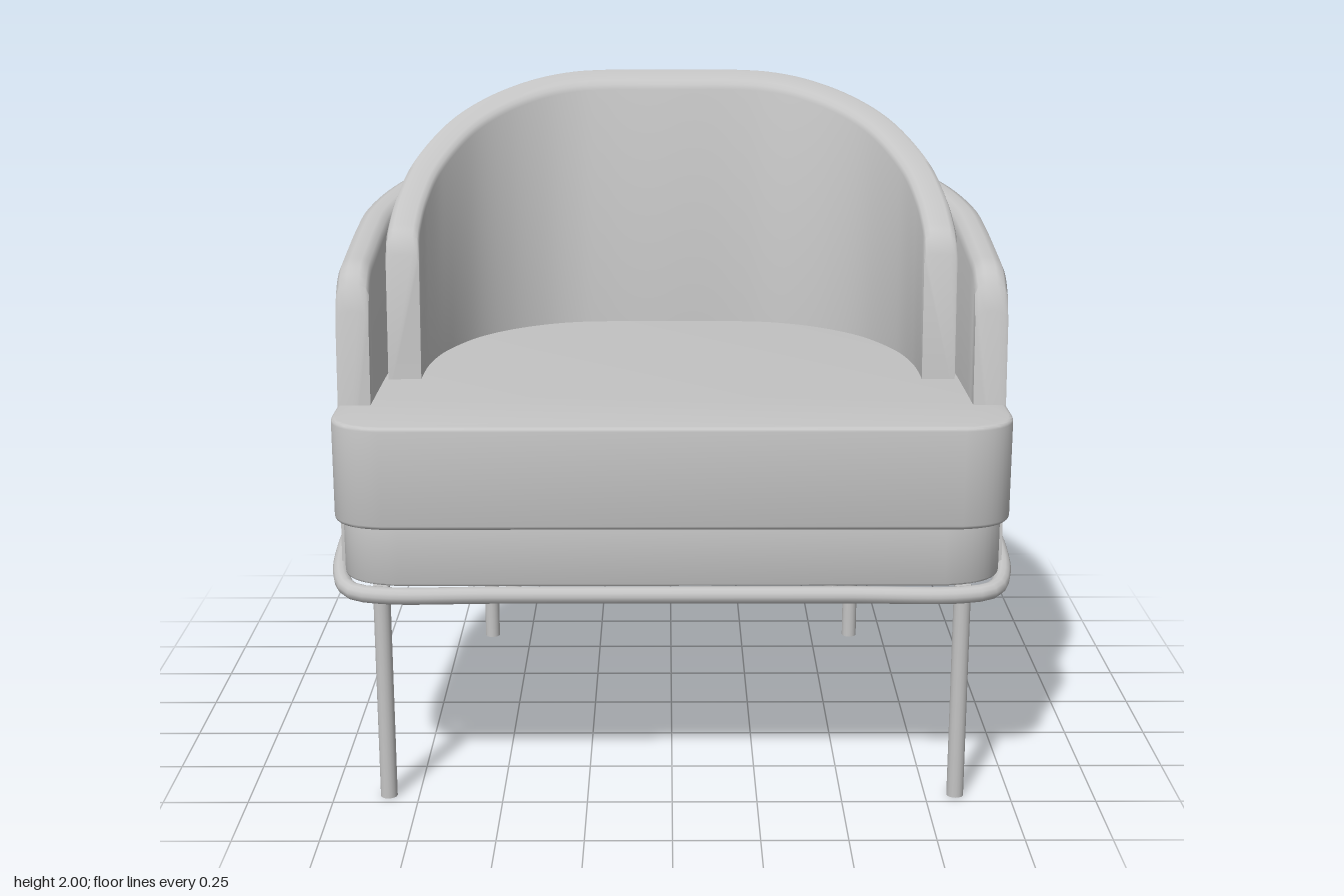
import * as THREE from 'three';
import { toCreasedNormals } from 'three/addons/utils/BufferGeometryUtils.js';

const V = (x, y, z) => new THREE.Vector3(x, y, z);
const LEAN = 0.083, FLOOR = 0.68; // walls lean backwards from the floor of the body

// mirrors a half plan [x, z] running from front left to the back centre
const mirrorPlan = (half) => [...half, ...half.slice(0, -1).reverse().map(([x, z]) => [-x, z])];
const planCurve = (half) =>
  new THREE.CatmullRomCurve3(mirrorPlan(half).map(([x, z]) => V(x, 0, z)), false, 'centripetal');

// points along a plan curve with their inward normals
function samplePlan(curve, n) {
  return Array.from({ length: n + 1 }, (_, i) => {
    const p = curve.getPointAt(i / n), t = curve.getTangentAt(i / n);
    return { p, nx: t.z, nz: -t.x };
  });
}

// leaning U-shaped wall; its top follows the line y = a - b * z, front corners are rounded
function wall(curve, { n, thick, rim, bottom, a, b, corner }) {
  const pos = [], idx = [];
  const section = [[0, null], [0, -rim], [0.3 * rim, -0.3 * rim], [rim, 0],
    [thick - rim, 0], [thick - 0.3 * rim, -0.3 * rim], [thick, -rim], [thick, null]];
  const m = section.length, length = curve.getLength();
  samplePlan(curve, n).forEach(({ p, nx, nz }, i) => {
    const d = Math.min(i, n - i) * length / n;
    const drop = d < corner ? corner - Math.sqrt(corner ** 2 - (corner - d) ** 2) : 0;
    for (const [u, dy] of section) {
      const z = p.z + nz * u;
      const top = (a - b * z - b * LEAN * FLOOR) / (1 - LEAN * b);
      const y = dy === null ? bottom : top - drop + dy;
      pos.push(p.x + nx * u, y, z - LEAN * (y - FLOOR));
    }
  });
  for (let i = 0; i < n; i++) {
    for (let j = 0; j < m; j++) {
      const k = (j + 1) % m, A = i * m + j, B = i * m + k, C = A + m, D = B + m;
      idx.push(A, C, D, A, D, B);
    }
  }
  for (let j = 1; j < m - 1; j++) {
    idx.push(0, j, j + 1, n * m, n * m + j + 1, n * m + j);
  }
  const g = new THREE.BufferGeometry();
  g.setAttribute('position', new THREE.Float32BufferAttribute(pos, 3));
  g.setIndex(idx);
  return toCreasedNormals(g, 0.85);
}

// horizontal slab with rounded front corners whose back follows an inset plan
function slab(curve, { inset, halfWidth, front, back, radius, y0, y1, bevel }) {
  const s = new THREE.Shape();
  const w = halfWidth - bevel, f = front - bevel;
  s.moveTo(w, -back);
  s.lineTo(w, -(f - radius));
  s.quadraticCurveTo(w, -(f - radius * 0.12), w - radius, -f);
  s.lineTo(-w + radius, -f);
  s.quadraticCurveTo(-w, -(f - radius * 0.12), -w, -(f - radius));
  s.lineTo(-w, -back);
  samplePlan(curve, 64).reverse().forEach(({ p, nx, nz }) => {
    const z = p.z + nz * inset;
    if (z < back - 0.05) s.lineTo(p.x + nx * inset, -z);
  });
  const g = new THREE.ExtrudeGeometry(s, {
    depth: y1 - y0 - 2 * bevel, bevelEnabled: true, bevelSize: bevel,
    bevelThickness: bevel, bevelSegments: 3, curveSegments: 12,
  });
  g.rotateX(-Math.PI / 2).translate(0, y0 + bevel, 0);
  return toCreasedNormals(g, 0.6);
}

// straight round bar between two points
function bar(a, b, r) {
  const g = new THREE.CylinderGeometry(r, r, a.distanceTo(b), 16);
  const q = new THREE.Quaternion().setFromUnitVectors(V(0, 1, 0), b.clone().sub(a).normalize());
  const mid = a.clone().add(b).multiplyScalar(0.5);
  return g.applyQuaternion(q).translate(mid.x, mid.y, mid.z);
}

export function createModel() {
  const group = new THREE.Group();
  const grey = new THREE.MeshStandardMaterial({ color: 0xc4c4c4 });
  grey.name = 'light grey';
  const add = (name, geometry) => {
    const mesh = new THREE.Mesh(geometry, grey);
    mesh.name = name;
    group.add(mesh);
  };

  // outer shell with arms
  const shellPlan = planCurve([[0.967, 0.6], [0.967, 0.4], [0.965, 0.2], [0.955, 0.03], [0.9, -0.19],
    [0.79, -0.41], [0.66, -0.545], [0.5, -0.65], [0.37, -0.7], [0.23, -0.722], [0, -0.722]]);
  add('outerShell', wall(shellPlan, {
    n: 160, thick: 0.095, rim: 0.03, bottom: FLOOR, a: 1.631, b: 0.168, corner: 0.11,
  }));

  // inner backrest
  const backPlan = planCurve([[0.86, 0.29], [0.86, 0.2], [0.853, 0.08], [0.82, -0.1], [0.72, -0.33],
    [0.6, -0.47], [0.46, -0.565], [0.34, -0.608], [0.22, -0.622], [0, -0.622]]);
  add('backrest', wall(backPlan, {
    n: 140, thick: 0.1, rim: 0.02, bottom: 1.1, a: 1.682, b: 0.44, corner: 0.05,
  }));

  // seat cushion and the recessed base beneath it
  add('seatCushion', slab(shellPlan, {
    inset: 0.045, halfWidth: 0.97, front: 0.81, back: 0.56, radius: 0.14, y0: 0.86, y1: 1.16, bevel: 0.012,
  }));
  add('base', slab(shellPlan, {
    inset: 0.035, halfWidth: 0.955, front: 0.77, back: 0.5, radius: 0.17, y0: FLOOR, y1: 0.88, bevel: 0.006,
  }));

  // sloping ring around the body
  const ringHalf = [[0, 0.755], [0.5, 0.755], [0.84, 0.755], [0.925, 0.725], [0.967, 0.62], [0.968, 0.2],
    [0.955, -0.05], [0.9, -0.27], [0.79, -0.47], [0.64, -0.61], [0.48, -0.705], [0.24, -0.768], [0, -0.768]];
  const ringPoints = mirrorPlan(ringHalf).slice(0, -1).map(([x, z]) => V(x, 0.773 - 0.1645 * z, z));
  const ringCurve = new THREE.CatmullRomCurve3(ringPoints, true, 'centripetal');
  add('frameRing', new THREE.TubeGeometry(ringCurve, 160, 0.025, 12, true));

  // legs and under-seat bars
  for (const [side, s] of [['left', 1], ['right', -1]]) {
    add(side + 'FrontLeg', bar(V(s * 0.84, 0, 0.7), V(s * 0.84, 0.66, 0.7), 0.025));
    add(side + 'BackLeg', bar(V(s * 0.637, 0, -0.617), V(s * 0.637, 0.88, -0.617), 0.025));
    add(side + 'FrontBar', bar(V(s * 0.46, 0.65, 0.75), V(s * 0.44, 0.65, -0.12), 0.022));
    add(side + 'BackBar', bar(V(s * 0.44, 0.65, -0.12), V(s * 0.637, 0.65, -0.617), 0.022));
  }
  add('crossBar', bar(V(-0.44, 0.65, -0.12), V(0.44, 0.65, -0.12), 0.022));

  return group;
}
